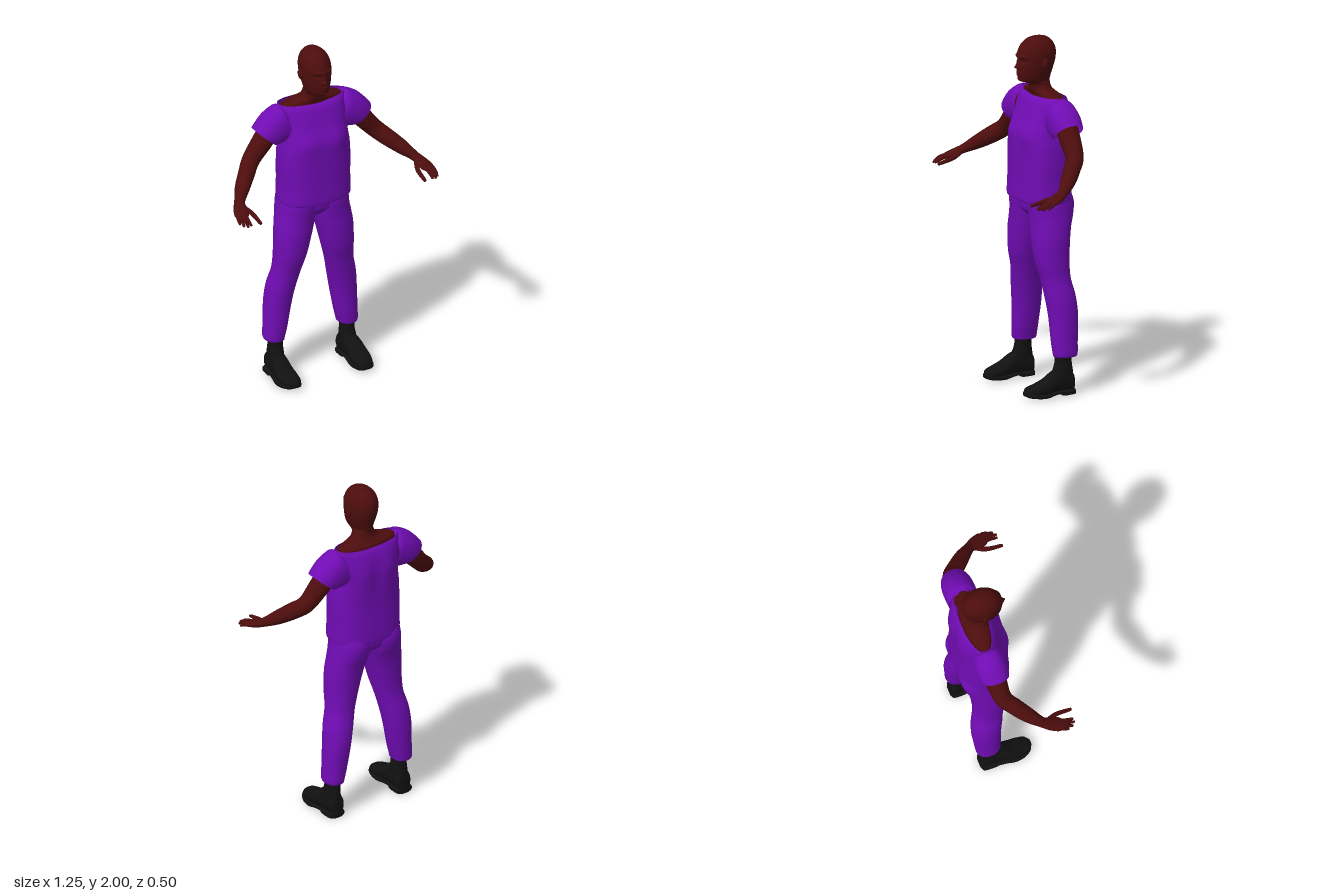
import * as THREE from 'three';

const V = (x, y, z) => new THREE.Vector3(x, y, z);

// Smooth skin through elliptical rings { c: centre, u, v: half axes }.
function loft(rings, { seg = 32, steps = 40, n = 2, caps = [true, true], warp } = {}) {
  const curve = k => new THREE.CatmullRomCurve3(rings.map(r => r[k]), false, 'catmullrom', 0.5);
  const [cc, cu, cv] = ['c', 'u', 'v'].map(curve);
  const dir = rings[1].c.clone().sub(rings[0].c);
  const flip = rings[0].u.clone().cross(rings[0].v).dot(dir) < 0 ? -1 : 1;
  const pow = a => Math.sign(a) * Math.pow(Math.abs(a), 2 / n);
  const pos = [], idx = [];
  for (let i = 0; i <= steps; i++) {
    const t = i / steps, c = cc.getPoint(t), u = cu.getPoint(t), v = cv.getPoint(t);
    for (let j = 0; j < seg; j++) {
      const a = (j / seg) * Math.PI * 2;
      const p = c.clone().addScaledVector(u, pow(Math.cos(a))).addScaledVector(v, flip * pow(Math.sin(a)));
      if (warp) warp(p);
      pos.push(p.x, p.y, p.z);
    }
  }
  for (let i = 0; i < steps; i++) for (let j = 0; j < seg; j++) {
    const k = (j + 1) % seg, a = i * seg + j, b = i * seg + k;
    idx.push(a, b, a + seg, b, b + seg, a + seg);
  }
  caps.forEach((on, e) => {
    if (!on) return;
    const base = e ? steps * seg : 0, mid = pos.length / 3, c = rings[e ? rings.length - 1 : 0].c;
    pos.push(c.x, c.y, c.z);
    for (let j = 0; j < seg; j++) {
      const a = base + j, b = base + (j + 1) % seg;
      if (e) idx.push(a, b, mid); else idx.push(b, a, mid);
    }
  });
  const g = new THREE.BufferGeometry();
  g.setAttribute('position', new THREE.Float32BufferAttribute(pos, 3));
  g.setIndex(idx);
  g.computeVertexNormals();
  return g;
}

// Horizontal ring spanning x0..x1 and zb..zf.
const level = (y, x0, x1, zf, zb) => ({
  c: V((x0 + x1) / 2, y, (zf + zb) / 2), u: V((x1 - x0) / 2, 0, 0), v: V(0, 0, (zf - zb) / 2),
});
const centred = ([y, h, zf, zb]) => level(y, -h, h, zf, zb);
// Upright ring facing z, for the shoes.
const upright = (x, z, h, y0, y1) => ({ c: V(x, (y0 + y1) / 2, z), u: V(h, 0, 0), v: V(0, (y1 - y0) / 2, 0) });
// Rings swept along points [x, y, z, sideRadius, upRadius].
function sweep(pts) {
  const p = pts.map(q => V(q[0], q[1], q[2]));
  return pts.map((q, i) => {
    const t = p[Math.min(i + 1, p.length - 1)].clone().sub(p[Math.max(i - 1, 0)]).normalize();
    const side = t.clone().cross(V(0, 1, 0)).normalize();
    return { c: p[i], u: side.clone().multiplyScalar(q[3]), v: side.cross(t).multiplyScalar(q[4]) };
  });
}
const mirror = (rings, s) => rings.map(r => ({
  c: V(r.c.x * s, r.c.y, r.c.z), u: V(r.u.x * s, r.u.y, r.u.z), v: V(r.v.x * s, r.v.y, r.v.z),
}));
const bump = (x, y, x0, y0, sx, sy) => Math.exp(-(((x - x0) / sx) ** 2) - ((y - y0) / sy) ** 2);

export function createModel() {
  const model = new THREE.Group();
  model.name = 'standingFigure';
  const mat = (name, color, side = THREE.FrontSide) => {
    const m = new THREE.MeshStandardMaterial({ color, side });
    m.name = name;
    return m;
  };
  const skin = mat('darkBrownSkin', 0x4d0d0d);
  const cloth = mat('purpleCloth', 0x700cb4, THREE.DoubleSide);
  const leather = mat('blackLeather', 0x111111);
  const add = (name, geo, m) => {
    const mesh = new THREE.Mesh(geo, m);
    mesh.name = name;
    model.add(mesh);
    return mesh;
  };

  // Head, neck and shoulders, with facial relief pushed out of the front
  const face = p => {
    if (p.z < -0.03 || p.y < 1.75) return;
    const x = Math.abs(p.x), y = p.y;
    p.z += 0.010 * bump(x, y, 0.03, 1.895, 0.028, 0.010)   // brows
      - 0.012 * bump(x, y, 0.034, 1.872, 0.017, 0.011)     // eye sockets
      + 0.005 * bump(x, y, 0.034, 1.871, 0.009, 0.006)     // eyes
      + 0.012 * bump(x, y, 0, 1.862, 0.009, 0.022)         // nose bridge
      + 0.022 * bump(x, y, 0, 1.836, 0.012, 0.012)         // nose tip
      + 0.008 * bump(x, y, 0.014, 1.831, 0.008, 0.007)     // nostrils
      + 0.009 * bump(x, y, 0, 1.803, 0.024, 0.006)         // upper lip
      + 0.008 * bump(x, y, 0, 1.788, 0.020, 0.006)         // lower lip
      + 0.005 * bump(x, y, 0, 1.762, 0.020, 0.010);        // chin
  };
  add('headAndNeck', loft([
    [1.62, 0.185, -0.05, -0.19], [1.668, 0.185, -0.055, -0.19], [1.684, 0.13, -0.05, -0.178],
    [1.70, 0.082, -0.045, -0.165], [1.72, 0.065, -0.04, -0.157], [1.737, 0.06, -0.028, -0.155],
    [1.746, 0.058, 0.005, -0.156], [1.756, 0.06, 0.028, -0.158], [1.78, 0.069, 0.035, -0.163],
    [1.82, 0.079, 0.037, -0.176], [1.87, 0.085, 0.036, -0.19], [1.92, 0.083, 0.03, -0.191],
    [1.96, 0.068, 0.008, -0.174], [1.988, 0.04, -0.03, -0.142], [2.0, 0.004, -0.085, -0.095],
  ].map(centred), { seg: 96, steps: 150, warp: face }), skin);

  // Shirt body, with a scooped neckline and soft chest
  add('shirtBody', loft([
    [1.078, 0.206, 0.045, -0.238], [1.095, 0.212, 0.054, -0.245], [1.2, 0.21, 0.05, -0.242],
    [1.3, 0.212, 0.048, -0.238], [1.4, 0.207, 0.046, -0.238], [1.46, 0.199, 0.038, -0.238],
    [1.53, 0.199, 0.012, -0.236], [1.6, 0.202, -0.014, -0.226], [1.65, 0.204, -0.036, -0.212],
    [1.679, 0.2, -0.058, -0.198],
  ].map(centred), {
    seg: 64, steps: 60, n: 2.5, caps: [false, false],
    warp: p => {
      const x = Math.abs(p.x), y = p.y;
      if (p.z > -0.09) p.z += 0.012 * bump(x, y, 0.085, 1.46, 0.06, 0.06);
      else p.z -= 0.010 * bump(x, y, 0.085, 1.52, 0.06, 0.1) - 0.006 * bump(x, y, 0, 1.45, 0.02, 0.15);
      if (y > 1.64) p.y -= 0.014 * (1 - (x / 0.21) ** 2) * (y - 1.64) / 0.04;
    },
  }), cloth);

  // Pelvis joining the trouser legs
  add('trouserSeat', loft([
    [1.16, 0.18, 0.01, -0.22], [1.06, 0.17, 0.012, -0.228], [1.01, 0.11, 0.0, -0.205], [0.965, 0.025, -0.05, -0.14],
  ].map(centred), { n: 2.3 }), cloth);

  for (const [s, label] of [[1, 'left'], [-1, 'right']]) {
    const part = (name, rings, m, opt) => add(label + name, loft(mirror(rings, s), opt), m);

    // Ear
    const ear = add(label + 'Ear', new THREE.SphereGeometry(1, 16, 12), skin);
    ear.scale.set(0.01, 0.03, 0.018);
    ear.position.set(s * 0.086, 1.856, -0.085);
    ear.rotation.set(-0.15, s * -0.3, 0);

    // Sleeve: each ring runs from a shoulder point to an underarm point
    part('Sleeve', [
      [0.18, 1.655, 0.15, 1.45, -0.035, -0.205], [0.215, 1.674, 0.185, 1.45, -0.03, -0.208],
      [0.285, 1.638, 0.21, 1.45, -0.028, -0.208], [0.33, 1.595, 0.225, 1.45, -0.03, -0.204],
      [0.36, 1.56, 0.238, 1.45, -0.035, -0.197],
    ].map(([ax, ay, bx, by, zf, zb]) => ({
      c: V((ax + bx) / 2, (ay + by) / 2, (zf + zb) / 2),
      u: V((ax - bx) / 2, (ay - by) / 2, 0), v: V(0, 0, (zf - zb) / 2),
    })), cloth, { caps: [false, false], n: 2.2 });

    // Arm and palm
    part('Arm', sweep([
      [0.17, 1.59, -0.12, 0.06, 0.06], [0.25, 1.545, -0.118, 0.062, 0.06], [0.32, 1.465, -0.113, 0.059, 0.056],
      [0.39, 1.385, -0.1, 0.05, 0.05], [0.44, 1.34, -0.055, 0.047, 0.048], [0.5, 1.29, 0.005, 0.042, 0.04],
      [0.55, 1.247, 0.065, 0.03, 0.026], [0.568, 1.228, 0.105, 0.038, 0.022], [0.583, 1.212, 0.15, 0.041, 0.017],
      [0.592, 1.205, 0.172, 0.03, 0.01],
    ]), skin, { steps: 60 });

    // Fingers and thumb: base, knuckle, tip and thickness
    [
      [[0.598, 1.216, 0.13], [0.615, 1.203, 0.165], [0.619, 1.184, 0.195], 0.009],
      [[0.59, 1.216, 0.14], [0.605, 1.202, 0.19], [0.608, 1.182, 0.222], 0.010],
      [[0.575, 1.216, 0.14], [0.588, 1.203, 0.195], [0.59, 1.182, 0.238], 0.010],
      [[0.562, 1.216, 0.14], [0.57, 1.203, 0.19], [0.571, 1.184, 0.235], 0.010],
      [[0.55, 1.228, 0.09], [0.522, 1.208, 0.155], [0.517, 1.188, 0.243], 0.013],
    ].forEach(([a, b, c, r], i) => part(i < 4 ? 'Finger' + (i + 1) : 'Thumb', sweep([
      [...a, r * 1.2, r], [...b, r, r], [...c, r * 0.75, r * 0.7],
      [c[0], c[1] - 0.002, c[2] + 0.006, r * 0.2, r * 0.2],
    ]), skin, { seg: 12, steps: 15 }));

    // Trouser leg
    part('TrouserLeg', [
      [1.14, 0, 0.195, 0.0, -0.22], [1.07, -0.004, 0.205, 0.02, -0.243], [1.0, -0.004, 0.214, 0.016, -0.235],
      [0.94, 0.008, 0.225, 0.013, -0.215], [0.865, 0.027, 0.235, 0.013, -0.2], [0.75, 0.056, 0.238, 0.004, -0.19],
      [0.65, 0.084, 0.244, -0.02, -0.19], [0.55, 0.108, 0.268, -0.035, -0.208], [0.44, 0.13, 0.28, -0.048, -0.215],
      [0.3, 0.155, 0.285, -0.055, -0.206], [0.235, 0.17, 0.288, -0.06, -0.202], [0.217, 0.173, 0.284, -0.064, -0.198],
    ].map(r => level(...r)), cloth, { steps: 70, n: 2.2 });

    // Boot shaft, upper and arched sole
    part('BootShaft', [
      [0.24, 0.182, 0.268, -0.072, -0.172], [0.18, 0.184, 0.266, -0.07, -0.17],
      [0.12, 0.182, 0.272, -0.05, -0.178], [0.05, 0.182, 0.274, -0.04, -0.18],
    ].map(r => level(...r)), leather);
    part('BootUpper', [
      [0.226, -0.18, 0.022, 0.02, 0.10], [0.226, -0.168, 0.044, 0.015, 0.125], [0.228, -0.12, 0.048, 0.012, 0.145],
      [0.23, -0.06, 0.05, 0.012, 0.14], [0.232, 0, 0.056, 0.01, 0.1], [0.23, 0.05, 0.056, 0.008, 0.078],
      [0.225, 0.1, 0.042, 0.012, 0.062], [0.222, 0.122, 0.012, 0.022, 0.045],
    ].map(r => upright(...r)), leather, { n: 2.3 });
    part('BootSole', [
      [0.228, -0.182, 0.03, 0.0, 0.03], [0.229, -0.165, 0.052, 0.0, 0.032], [0.23, -0.1, 0.054, 0.0, 0.032],
      [0.231, -0.085, 0.054, 0.014, 0.032], [0.232, -0.04, 0.057, 0.01, 0.03], [0.233, 0.01, 0.063, 0.0, 0.027],
      [0.231, 0.06, 0.06, 0.002, 0.028], [0.226, 0.105, 0.043, 0.008, 0.034], [0.222, 0.125, 0.015, 0.018, 0.038],
    ].map(r => upright(...r)), leather, { n: 4 });
  }
  return model;
}
